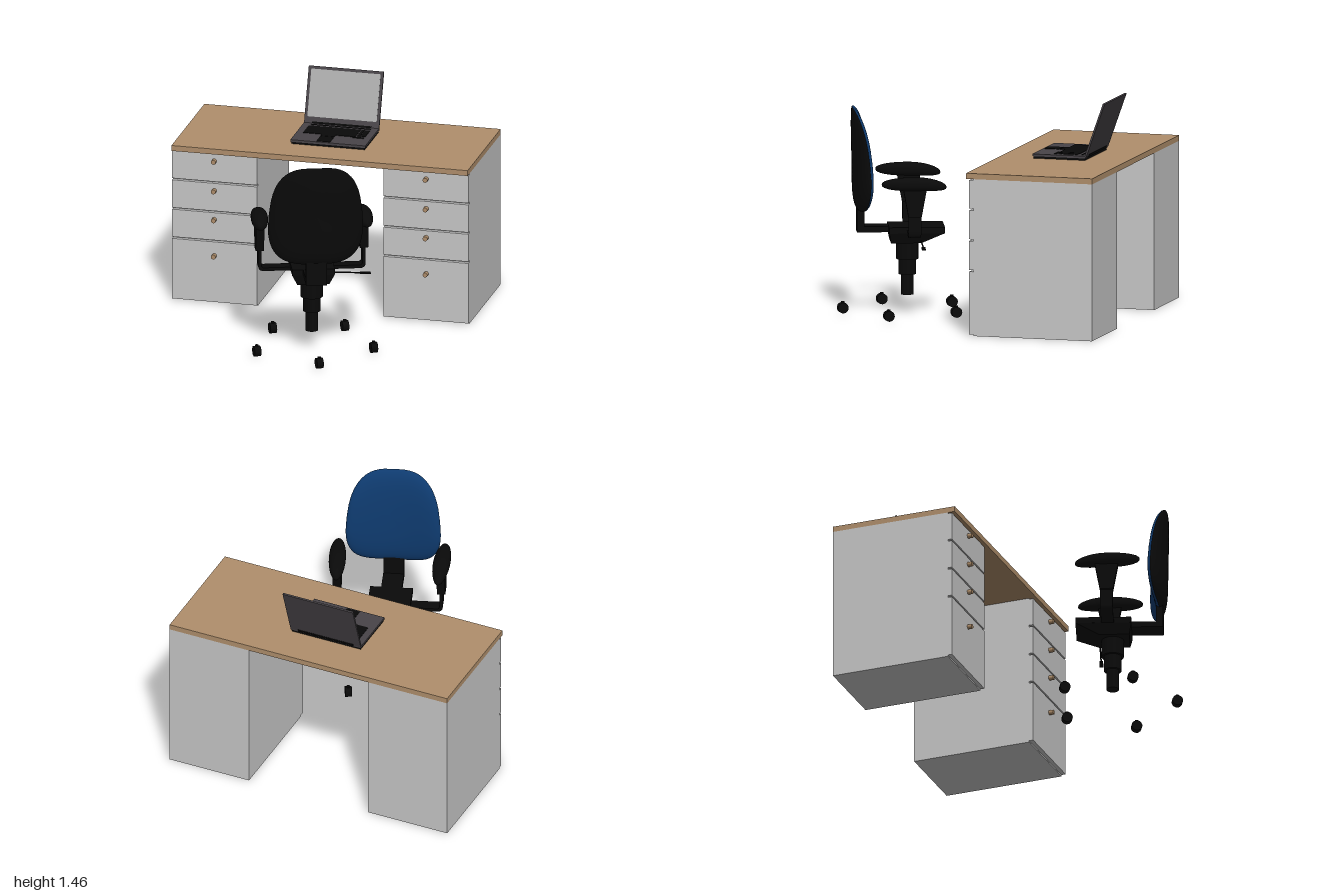
import * as THREE from 'three';

const mat = (name, color, side = THREE.FrontSide) => {
  const m = new THREE.MeshStandardMaterial({ color, side });
  m.name = name;
  return m;
};

export function createModel() {
  const wood = mat('wood', 0xb08f6c);
  const grey = mat('cabinet grey', 0xc8c8c8);
  const black = mat('black plastic', 0x0a0a0a);
  const blue = mat('blue fabric', 0x0e3a6e, THREE.DoubleSide);
  const shellBlack = black;
  const casing = mat('laptop casing', 0x484448);
  const screenGrey = mat('screen grey', 0xacacac);

  const model = new THREE.Group();
  const group = (name, parent = model) => {
    const g = new THREE.Group();
    g.name = name;
    parent.add(g);
    return g;
  };
  const add = (parent, name, geo, material, x = 0, y = 0, z = 0) => {
    const m = new THREE.Mesh(geo, material);
    m.name = name;
    m.position.set(x, y, z);
    parent.add(m);
    return m;
  };
  // Box given by its min and max along each axis
  const box = (parent, name, material, x0, x1, y0, y1, z0, z1) =>
    add(parent, name, new THREE.BoxGeometry(x1 - x0, y1 - y0, z1 - z0), material,
      (x0 + x1) / 2, (y0 + y1) / 2, (z0 + z1) / 2);
  // Box whose bottom face is scaled and shifted in z
  const taperBox = (w, h, d, sx, sz, shift = 0) => {
    const g = new THREE.BoxGeometry(w, h, d), p = g.attributes.position;
    for (let i = 0; i < p.count; i++) {
      if (p.getY(i) < 0) {
        p.setX(i, p.getX(i) * sx);
        p.setZ(i, p.getZ(i) * sz + shift);
      }
    }
    g.computeVertexNormals();
    return g;
  };

  // Desk: top, two cabinets, drawer fronts and knobs
  const desk = group('desk');
  box(desk, 'deskTop', wood, -1, 1, 1.037, 1.074, -0.977, -0.119);
  const drawers = [[0.01, 0.425, 0.33], [0.437, 0.627, 0.58], [0.639, 0.83, 0.78], [0.842, 1.03, 0.985]];
  for (const s of [-1, 1]) {
    const cabinet = group(s < 0 ? 'rightCabinet' : 'leftCabinet', desk);
    const x0 = s < 0 ? -1 : 0.428, x1 = x0 + 0.572;
    box(cabinet, 'cabinetBody', grey, x0, x1, 0, 1.037, -0.976, -0.167);
    for (const [y0, y1, knobY] of drawers) {
      box(cabinet, 'drawerFront', grey, x0, x1, y0, y1, -0.167, -0.139);
      add(cabinet, 'drawerKnob', new THREE.CylinderGeometry(0.016, 0.016, 0.032, 16), wood,
        s * 0.715, knobY, -0.124).rotation.x = Math.PI / 2;
    }
  }

  // Laptop
  const laptop = group('laptop');
  laptop.position.x = -0.003;
  box(laptop, 'laptopUnderside', black, -0.248, 0.248, 1.074, 1.09, -0.705, -0.352);
  box(laptop, 'laptopBase', casing, -0.253, 0.253, 1.088, 1.103, -0.71, -0.347);
  const key = (name, x0, x1, z0, z1) => box(laptop, name, black, x0, x1, 1.102, 1.106, z0, z1);
  key('speakerStrip', -0.2, 0.205, -0.679, -0.668);
  key('keyboard', -0.207, 0.145, -0.645, -0.5);
  key('numberPad', 0.152, 0.172, -0.645, -0.515);
  key('numberPad', 0.176, 0.208, -0.64, -0.52);
  key('arrowKeys', 0.13, 0.205, -0.498, -0.482);
  key('arrowKeys', 0.165, 0.182, -0.512, -0.496);
  key('touchpad', -0.08, 0.012, -0.46, -0.358);
  key('touchpadButtons', -0.08, 0.012, -0.5, -0.465);
  const lid = group('laptopLid', laptop);
  lid.position.set(0, 1.098, -0.708);
  lid.rotation.x = -0.34;
  box(lid, 'lidShell', casing, -0.253, 0.253, 0, 0.377, -0.006, 0.006);
  box(lid, 'screen', screenGrey, -0.234, 0.234, 0.045, 0.358, 0.004, 0.008);
  box(lid, 'hinge', black, -0.2, 0.2, -0.004, 0.014, -0.008, 0.009);

  // Chair, turned slightly and facing the desk (its forward is local -z)
  const chair = group('chair');
  chair.position.set(0.12, 0, 0.545);
  chair.rotation.y = THREE.MathUtils.degToRad(20);
  for (const [r, y0, y1] of [[0.042, 0.12, 0.26], [0.058, 0.255, 0.36], [0.073, 0.355, 0.49]])
    add(chair, 'gasColumn', new THREE.CylinderGeometry(r, r, y1 - y0, 24), black, 0, (y0 + y1) / 2, 0);
  box(chair, 'seatPlate', black, -0.14, 0.14, 0.54, 0.58, -0.24, 0.125);
  add(chair, 'tiltMechanism', taperBox(0.28, 0.07, 0.365, 0.75, 0.54, 0.07), black, 0, 0.506, -0.0575);
  const lever = add(chair, 'heightLever', new THREE.CylinderGeometry(0.005, 0.005, 0.32, 8), black, 0.22, 0.48, -0.086);
  lever.rotation.z = Math.PI / 2 - 0.05;
  const paddle = add(chair, 'leverPaddle', new THREE.BoxGeometry(0.07, 0.008, 0.025), black, 0.36, 0.473, -0.086);
  paddle.rotation.z = -0.05;
  box(chair, 'backBracket', black, -0.068, 0.068, 0.54, 0.578, 0.12, 0.33);
  box(chair, 'backUpright', black, -0.068, 0.068, 0.54, 0.76, 0.285, 0.332);

  // Bent flat bar of the armrest, drawn for +x
  const bar = new THREE.Shape();
  bar.moveTo(0.1, 0.54);
  bar.lineTo(0.315, 0.54);
  bar.quadraticCurveTo(0.353, 0.54, 0.353, 0.58);
  bar.lineTo(0.353, 0.72);
  bar.lineTo(0.331, 0.72);
  bar.lineTo(0.331, 0.582);
  bar.quadraticCurveTo(0.331, 0.562, 0.312, 0.562);
  bar.lineTo(0.1, 0.562);
  const barGeo = new THREE.ExtrudeGeometry(bar, { depth: 0.082, bevelEnabled: false, curveSegments: 8 });
  barGeo.translate(0, 0, -0.041);
  // Lens-shaped pad with a drooping front
  const padGeo = new THREE.SphereGeometry(1, 28, 16);
  const pp = padGeo.attributes.position;
  for (let i = 0; i < pp.count; i++) {
    const x = pp.getX(i), y = pp.getY(i), z = pp.getZ(i);
    const droop = z < 0 ? 0.022 * z * z : 0;
    pp.setXYZ(i, x * 0.056, Math.sign(y) * Math.pow(Math.abs(y), 0.8) * 0.045 - droop, z * 0.213);
  }
  padGeo.computeVertexNormals();
  for (const s of [-1, 1]) {
    const arm = group(s < 0 ? 'rightArmrest' : 'leftArmrest', chair);
    arm.position.z = -0.03;
    add(arm, 'armBar', barGeo, black).rotation.y = s < 0 ? Math.PI : 0;
    add(arm, 'armSleeve', taperBox(0.055, 0.19, 0.155, 1, 0.55), black, s * 0.342, 0.775, 0);
    const pad = add(arm, 'armPad', padGeo, black, s * 0.342, 0.897, 0.005);
    pad.rotation.y = s * 0.04;
  }

  // Backrest: one curved outline, with a bulging face toward each side
  const backFace = (dir) => {
    const N = 56, R = 12, pos = [], idx = [];
    const pow = (v) => Math.sign(v) * Math.pow(Math.abs(v), 2 / 3.5);
    for (let j = 0; j <= R; j++) {
      const r = Math.sin((j / R) * Math.PI / 2);
      for (let i = 0; i < N; i++) {
        const t = (i / N) * Math.PI * 2;
        const oy = 0.34 * pow(Math.sin(t));
        const taper = 1 - 0.22 * Math.pow(Math.max(0, oy + 0.17) / 0.5, 2);
        const x = 0.315 * pow(Math.cos(t)) * taper * r, y = 1.02 + oy * r;
        const u2 = Math.pow(Math.max(0, y - 0.8) / 0.5, 2);
        const mid = 0.31 - 0.6 * x * x + 0.04 * u2;
        const edge = Math.sqrt(Math.max(0, 1 - Math.pow(r, 5)));
        const z = mid + (dir > 0 ? (0.052 - 0.03 * u2) * edge : -0.045 * edge);
        pos.push(x, y, z);
        if (j < R) {
          const a = j * N + i, b = j * N + (i + 1) % N, c = a + N, d = b + N;
          if (dir > 0) idx.push(a, c, d, a, d, b);
          else idx.push(a, d, c, a, b, d);
        }
      }
    }
    const g = new THREE.BufferGeometry();
    g.setAttribute('position', new THREE.Float32BufferAttribute(pos, 3));
    g.setIndex(idx.slice());
    g.computeVertexNormals();
    return g;
  };
  add(chair, 'backrestShell', backFace(1), shellBlack);
  add(chair, 'backrestCushion', backFace(-1), blue);

  // Five casters in a ring, all pointing the same way
  const casters = group('casters');
  casters.position.set(0.135, 0, 0.56);
  for (let i = 0; i < 5; i++) {
    const a = THREE.MathUtils.degToRad(-2 + 72 * i);
    const caster = group('caster', casters);
    caster.position.set(0.403 * Math.cos(a), 0, 0.403 * Math.sin(a));
    caster.rotation.y = THREE.MathUtils.degToRad(30);
    add(caster, 'wheel', new THREE.CylinderGeometry(0.035, 0.035, 0.044, 20), black, 0, 0.035, 0)
      .rotation.z = Math.PI / 2;
    add(caster, 'casterStem', new THREE.CylinderGeometry(0.012, 0.012, 0.03, 10), black, 0, 0.063, 0);
  }
  return model;
}
